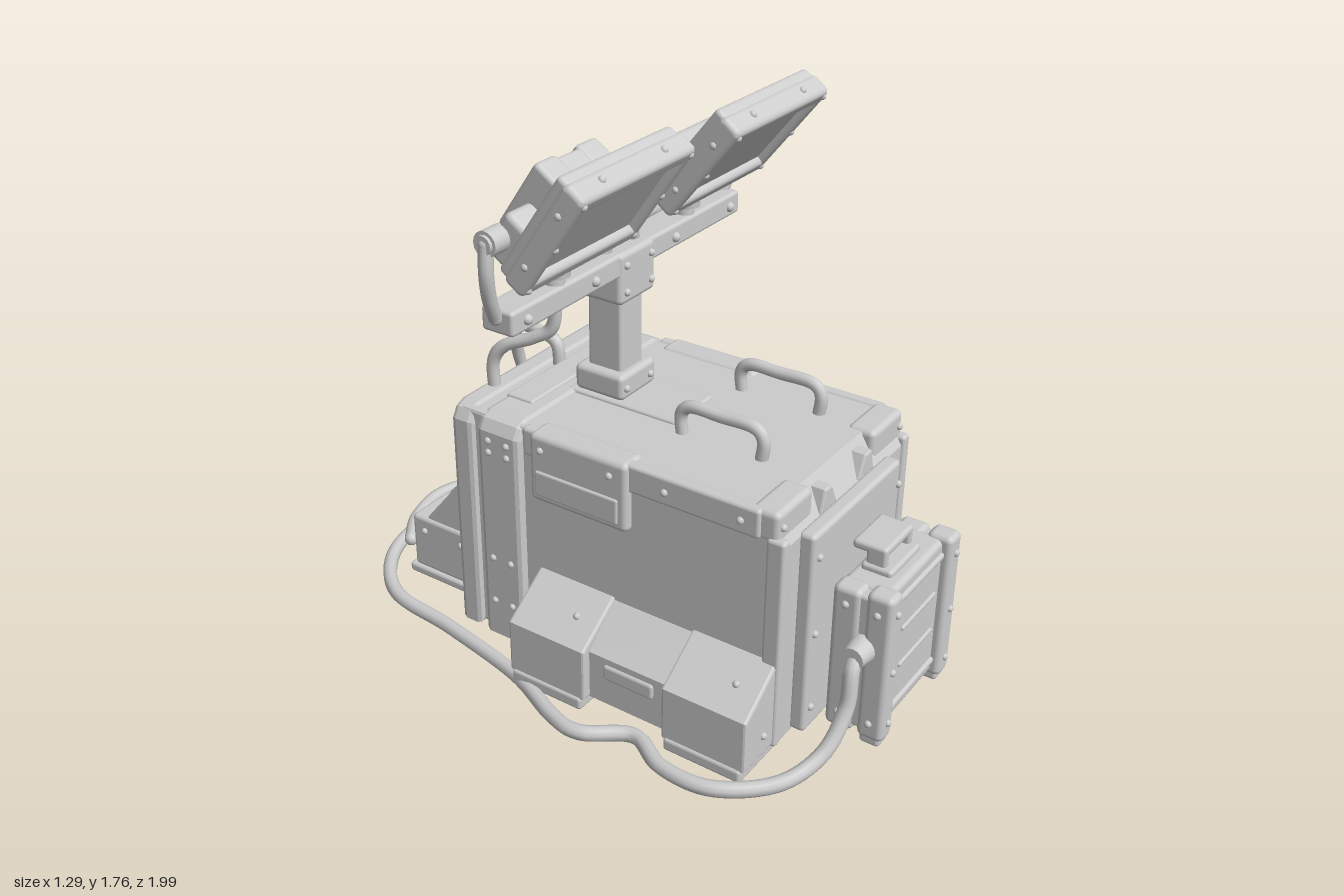
import * as THREE from 'three';
import { RoundedBoxGeometry } from 'three/addons/geometries/RoundedBoxGeometry.js';

const paint = new THREE.MeshStandardMaterial({ color: 0xcccccc });
paint.name = 'plain grey';

function add(parent, name, geo) {
  const m = new THREE.Mesh(geo, paint);
  m.name = name;
  parent.add(m);
  return m;
}
// rounded block given by its limits on each axis
function block(parent, name, [x0, x1], [y0, y1], [z0, z1], r = 0.012) {
  const w = x1 - x0, h = y1 - y0, d = z1 - z0;
  const m = add(parent, name, new RoundedBoxGeometry(w, h, d, 2, Math.min(r, w * 0.45, h * 0.45, d * 0.45)));
  m.position.set((x0 + x1) / 2, (y0 + y1) / 2, (z0 + z1) / 2);
  return m;
}
// outline in x, y pulled from z0 to z1
function prism(pts, z0, z1, bevel = 0.008) {
  const g = new THREE.ExtrudeGeometry(new THREE.Shape(pts.map(p => new THREE.Vector2(...p))), {
    depth: z1 - z0 - 2 * bevel, bevelEnabled: true, bevelSize: bevel, bevelOffset: -bevel,
    bevelThickness: bevel, bevelSegments: 2,
  });
  return g.translate(0, 0, z0 + bevel);
}
// outline in z, y pulled from x0 to x1
function sidePrism(pts, x0, x1, bevel) {
  return prism(pts, -x1, -x0, bevel).rotateY(-Math.PI / 2);
}
function tube(parent, name, pts, r) {
  const curve = new THREE.CatmullRomCurve3(pts.map(p => new THREE.Vector3(...p)), false, 'catmullrom', 0.5);
  add(parent, name, new THREE.TubeGeometry(curve, pts.length * 8, r, 10));
  for (const i of [0, pts.length - 1])
    add(parent, name + 'End', new THREE.SphereGeometry(r, 10, 8)).position.set(...pts[i]);
}
function rod(parent, name, r0, r1, len, pos, axis = 'y') {
  const g = new THREE.CylinderGeometry(r0, r1, len, 16);
  if (axis === 'x') g.rotateZ(Math.PI / 2);
  if (axis === 'z') g.rotateX(Math.PI / 2);
  add(parent, name, g).position.set(...pos);
}
function bolts(parent, list, r = 0.012) {
  for (const p of list) add(parent, 'bolt', new THREE.SphereGeometry(r, 10, 8)).position.set(...p);
}

function makeBody() {
  const g = new THREE.Group();
  g.name = 'powerBox';
  const cx = 0.012;
  add(g, 'shell', sidePrism([[-0.4, 0.055], [0.73, 0.055], [0.73, 0.73], [0.67, 0.832], [-0.4, 0.832]], cx - 0.368, cx + 0.368, 0.012));
  block(g, 'frontPanel', [-0.26, 0.265], [0.06, 0.74], [0.72, 0.775], 0.015);
  // two heavy bands round the rear
  for (const [z0, z1, w] of [[-0.325, -0.165, 0.395], [-0.433, -0.35, 0.386]])
    add(g, 'rearBand', prism([[cx - w, 0.05], [cx + w, 0.05], [cx + w, 0.79], [cx - 0.02 + w, 0.825], [cx - 0.055 + w, 0.84],
      [cx + 0.055 - w, 0.84], [cx + 0.02 - w, 0.825], [cx - w, 0.79]], z0, z1, 0.018));
  block(g, 'rearTopPlate', [-0.24, 0.18], [0.83, 0.848], [-0.32, -0.22]);
  block(g, 'mastPlate', [-0.09, 0.12], [0.82, 0.842], [-0.2, 0.2]);
  for (const s of [-1, 1]) {
    const X = (a, b) => [cx + s * a, cx + s * b].sort((p, q) => p - q);
    // lid rim, latch plate and panel border on each side
    block(g, 'lidRim', X(0.34, 0.38), [0.745, 0.838], [-0.16, 0.66]);
    block(g, 'latchPlate', X(0.3, 0.395), [0.61, 0.84], [-0.125, 0.23], 0.02);
    block(g, 'latchInset', X(0.385, 0.402), [0.635, 0.72], [-0.1, 0.2]);
    block(g, 'cornerPost', X(0.34, 0.378), [0.06, 0.76], [0.68, 0.74]);
    block(g, 'cornerPad', X(0.18, 0.37), [0.74, 0.84], [0.62, 0.715], 0.02);
    add(g, 'frontClip', prism([[cx + s * 0.065, 0.74], [cx + s * 0.16, 0.74], [cx + s * 0.14, 0.81], [cx + s * 0.1, 0.81]], 0.66, 0.73, 0.006));
    bolts(g, [[cx + s * 0.38, 0.79, 0.6], [cx + s * 0.38, 0.79, 0.35], [cx + s * 0.395, 0.79, 0.17],
      [cx + s * 0.395, 0.79, -0.08], [cx + s * 0.345, 0.79, 0.715]]);
    for (const y of [0.18, 0.34, 0.72, 0.76]) bolts(g, [[cx + s * 0.394, y, -0.21], [cx + s * 0.394, y, -0.28]]);
    bolts(g, [0.14, 0.4, 0.66].map(y => [cx + s * 0.24, y, 0.775]));
    // sloped outrigger: two big feet joined by a slightly recessed bar
    const slope = (o, t) => [[0.34, 0.07], [o, 0.07], [o, t], [0.37, t + 0.11], [0.34, t + 0.11]].map(([x, y]) => [cx + s * x, y]);
    for (const [z0, z1] of [[0.445, 0.73], [-0.115, 0.168]]) {
      add(g, 'outriggerFoot', prism(slope(0.53, 0.245), z0, z1));
      block(g, 'outriggerPad', X(0.3, 0.537), [0.03, 0.075], [z0 + 0.01, z1 - 0.01]);
      bolts(g, [[cx + s * 0.45, 0.3, (z0 + z1) / 2 + 0.06], [cx + s * 0.43, 0.14, z1]]);
    }
    add(g, 'outriggerBar', prism(slope(0.5, 0.235), 0.15, 0.46));
    block(g, 'outriggerSlot', X(0.48, 0.508), [0.16, 0.215], [0.22, 0.4]);
  }
  // carrying handles on the lid
  for (const x of [-0.11, 0.225])
    tube(g, 'lidHandle', [[x, 0.82, 0.51], [x, 0.89, 0.515], [x, 0.925, 0.48], [x, 0.925, 0.37],
      [x, 0.925, 0.27], [x, 0.89, 0.235], [x, 0.82, 0.24]], 0.02);
  // rear wedge with a flush hatch
  add(g, 'rearWedge', sidePrism([[-0.4, 0.06], [-0.4, 0.6], [-0.43, 0.585], [-0.7, 0.255], [-0.7, 0.06]], -0.235, 0.245));
  const hatch = block(g, 'rearHatch', [-0.17, 0.195], [0.29, 0.56], [-0.577, -0.552]);
  hatch.rotation.x = 0.686;
  block(g, 'rearFoot', [-0.245, 0.25], [0.06, 0.26], [-0.755, -0.48], 0.015);
  block(g, 'rearFootPad', [-0.255, 0.26], [0.03, 0.065], [-0.772, -0.46]);
  bolts(g, [-0.2, 0.205].flatMap(x => [[x, 0.21, -0.755], [x, 0.11, -0.755]]));
  for (const z of [-0.7, -0.54]) bolts(g, [[-0.245, 0.21, z], [0.25, 0.21, z]]);
  return g;
}

function makeCase() {
  const g = new THREE.Group();
  g.name = 'frontCase';
  block(g, 'caseCore', [-0.13, 0.23], [0.07, 0.55], [0.8, 0.955], 0.02);
  for (const y of [0.12, 0.5]) block(g, 'caseRib', [-0.11, 0.21], [y - 0.012, y + 0.012], [0.93, 0.965]);
  for (const y of [0.25, 0.38]) block(g, 'caseLine', [-0.04, 0.18], [y - 0.008, y + 0.008], [0.94, 0.962]);
  for (const [x0, x1] of [[-0.178, -0.105], [0.203, 0.278]]) {
    block(g, 'caseFrameFront', [x0, x1], [0.06, 0.563], [0.9, 0.985], 0.02);
    block(g, 'caseFrameBack', [x0, x1], [0.06, 0.553], [0.795, 0.885], 0.02);
    block(g, 'caseFrameLink', [x0 + 0.01, x1 - 0.01], [0.08, 0.54], [0.85, 0.93]);
    block(g, 'caseFoot', [x0 + 0.005, x1 - 0.005], [0.04, 0.08], [0.91, 0.975]);
    const x = (x0 + x1) / 2, out = x < 0 ? x0 : x1;
    bolts(g, [0.12, 0.3, 0.5].map(y => [x, y, 0.984]));
    for (const z of [0.84, 0.94]) bolts(g, [0.12, 0.5].map(y => [out, y, z]));
  }
  block(g, 'caseHandlePlate', [-0.06, 0.13], [0.54, 0.57], [0.82, 0.92]);
  for (const x of [-0.05, 0.1]) block(g, 'caseHandlePost', [x, x + 0.025], [0.55, 0.625], [0.83, 0.895]);
  block(g, 'caseHandle', [-0.05, 0.125], [0.6, 0.63], [0.785, 0.895]);
  rod(g, 'casePlug', 0.035, 0.045, 0.07, [-0.2, 0.37, 0.9], 'x');
  return g;
}

function makeMast() {
  const g = new THREE.Group();
  g.name = 'mast';
  block(g, 'mastPost', [-0.048, 0.068], [0.82, 1.2], [-0.15, -0.025]);
  block(g, 'mastCollar', [-0.08, 0.105], [0.84, 0.925], [-0.18, 0], 0.018);
  block(g, 'mastHead', [-0.085, 0.095], [1.16, 1.325], [-0.185, 0.002], 0.018);
  block(g, 'crossbar', [-0.575, 0.58], [1.25, 1.325], [-0.115, -0.005]);
  for (const x of [-0.055, 0.07]) bolts(g, [[x, 0.88, 0], [x, 1.2, 0.002], [x, 1.285, 0.002], [x, 1.24, -0.185]]);
  bolts(g, [-0.51, -0.2, 0.21, 0.52].map(x => [x, 1.285, -0.005]), 0.016);
  // clamp screw and loom behind the bar
  rod(g, 'clampScrew', 0.012, 0.012, 0.07, [0.01, 1.335, -0.13]);
  bolts(g, [[0.01, 1.365, -0.13]], 0.024);
  for (const s of [-1, 1])
    tube(g, 'barWire', [[s * 0.33, 1.33, -0.08], [s * 0.29, 1.31, -0.15], [s * 0.22, 1.29, -0.18], [s * 0.08, 1.28, -0.17]], 0.016);
  return g;
}

// floodlight: x centre, height, depth and tilt of the head
function makeLamp(cx, y, z, tilt) {
  const g = new THREE.Group();
  g.name = 'floodlight';
  const head = new THREE.Group();
  head.name = 'lampHead';
  head.position.set(cx, y, z);
  head.rotation.x = tilt;
  g.add(head);
  block(head, 'lampHousing', [-0.25, 0.25], [-0.185, 0.185], [-0.05, 0.025], 0.015);
  block(head, 'lampGlass', [-0.235, 0.235], [-0.15, 0.15], [0.02, 0.03], 0.003);
  for (const s of [-1, 1]) {
    block(head, 'rimBar', [-0.26, 0.26], s > 0 ? [0.135, 0.19] : [-0.19, -0.135], [-0.02, 0.055], 0.018);
    const [a, b] = [s * 0.26, s * 0.218].sort((p, q) => p - q);
    block(head, 'rimPost', [a, b], [-0.185, 0.185], [-0.02, 0.055], 0.015);
    bolts(head, [[s * 0.24, 0.165, 0.05], [s * 0.24, 0, 0.05], [s * 0.24, -0.165, 0.05],
      [s * 0.14, 0.188, 0.015], [s * 0.14, -0.188, 0.015], [s * 0.256, 0.1, 0.015], [s * 0.256, -0.1, 0.015]]);
  }
  block(head, 'pivotHousing', [-0.23, 0.23], [-0.19, -0.04], [-0.125, -0.04], 0.02);
  // yoke: pivot knobs and bent arms down to the crossbar
  const py = 1.535, pz = -0.04, side = Math.sign(cx);
  for (const s of [-1, 1]) {
    rod(g, 'pivotKnob', 0.038, 0.038, 0.07, [cx + s * 0.255, py, pz], 'x');
    rod(g, 'pivotCap', 0.028, 0.028, 0.09, [cx + s * 0.255, py, pz], 'x');
    const end = s === side ? 0.235 : 0.25;
    tube(g, 'yokeArm', [[cx + s * 0.285, py, pz], [cx + s * 0.288, 1.45, pz], [cx + s * 0.268, 1.37, pz - 0.01],
      [cx + s * end, 1.3, pz - 0.02]], 0.021);
  }
  rod(g, 'swivelCup', 0.045, 0.038, 0.07, [cx, 1.385, -0.03]);
  rod(g, 'swivelStem', 0.03, 0.03, 0.12, [cx, 1.345, -0.04]);
  return { g, head };
}

export function createModel() {
  const model = new THREE.Group();
  model.name = 'portableLightTower';
  model.add(makeBody(), makeCase(), makeMast());
  const a = makeLamp(-0.343, 1.577, 0.11, 0.6), b = makeLamp(0.314, 1.592, 0.145, 0.67);
  model.add(a.g, b.g);
  // slotted ballast box behind one floodlight
  for (const [x0, x1] of [[-0.135, -0.042], [0.042, 0.135]])
    block(a.head, 'ballastSide', [x0, x1], [-0.18, 0.065], [-0.168, -0.04], 0.015);
  block(a.head, 'ballastBase', [-0.1, 0.1], [-0.18, -0.09], [-0.162, -0.04]);
  block(a.head, 'ballastTop', [-0.1, 0.1], [0.02, 0.06], [-0.158, -0.04]);

  // cables from the mast to the box
  tube(model, 'mastCable', [[-0.12, 1.28, -0.15], [-0.14, 1.22, -0.19], [-0.14, 1.07, -0.21], [-0.16, 1.02, -0.27],
    [-0.19, 0.98, -0.36], [-0.2, 0.92, -0.4], [-0.2, 0.82, -0.4]], 0.021);
  tube(model, 'rearCable', [[0.04, 0.82, -0.33], [0.04, 0.9, -0.34], [0.04, 0.925, -0.4], [0.05, 0.92, -0.5],
    [0.08, 0.84, -0.54], [0.12, 0.72, -0.545], [0.16, 0.67, -0.51], [0.16, 0.675, -0.44]], 0.021);
  rod(model, 'rearPlug', 0.045, 0.05, 0.08, [0.16, 0.675, -0.46], 'z');
  // loose cables on the ground
  tube(model, 'groundCable', [[0.36, 0.04, -0.62], [0.34, 0.04, -0.74], [0.22, 0.045, -0.87], [0, 0.05, -0.92],
    [-0.22, 0.04, -0.88], [-0.38, 0.03, -0.72], [-0.42, 0.025, -0.45], [-0.49, 0.025, -0.12], [-0.59, 0.035, 0.1],
    [-0.61, 0.04, 0.22], [-0.53, 0.04, 0.36], [-0.6, 0.045, 0.5], [-0.6, 0.05, 0.67], [-0.49, 0.06, 0.82],
    [-0.36, 0.11, 0.89], [-0.27, 0.22, 0.91], [-0.24, 0.34, 0.905], [-0.18, 0.37, 0.9]], 0.024);
  tube(model, 'looseCable', [[-0.14, 0.06, -0.87], [-0.03, 0.07, -0.94], [0.13, 0.07, -0.975], [0.28, 0.06, -0.92],
    [0.42, 0.045, -0.72], [0.51, 0.03, -0.4], [0.59, 0.03, -0.1], [0.61, 0.04, 0.04], [0.56, 0.05, 0.12],
    [0.55, 0.045, 0.2], [0.46, 0.045, 0.24]], 0.024);
  return model;
}
